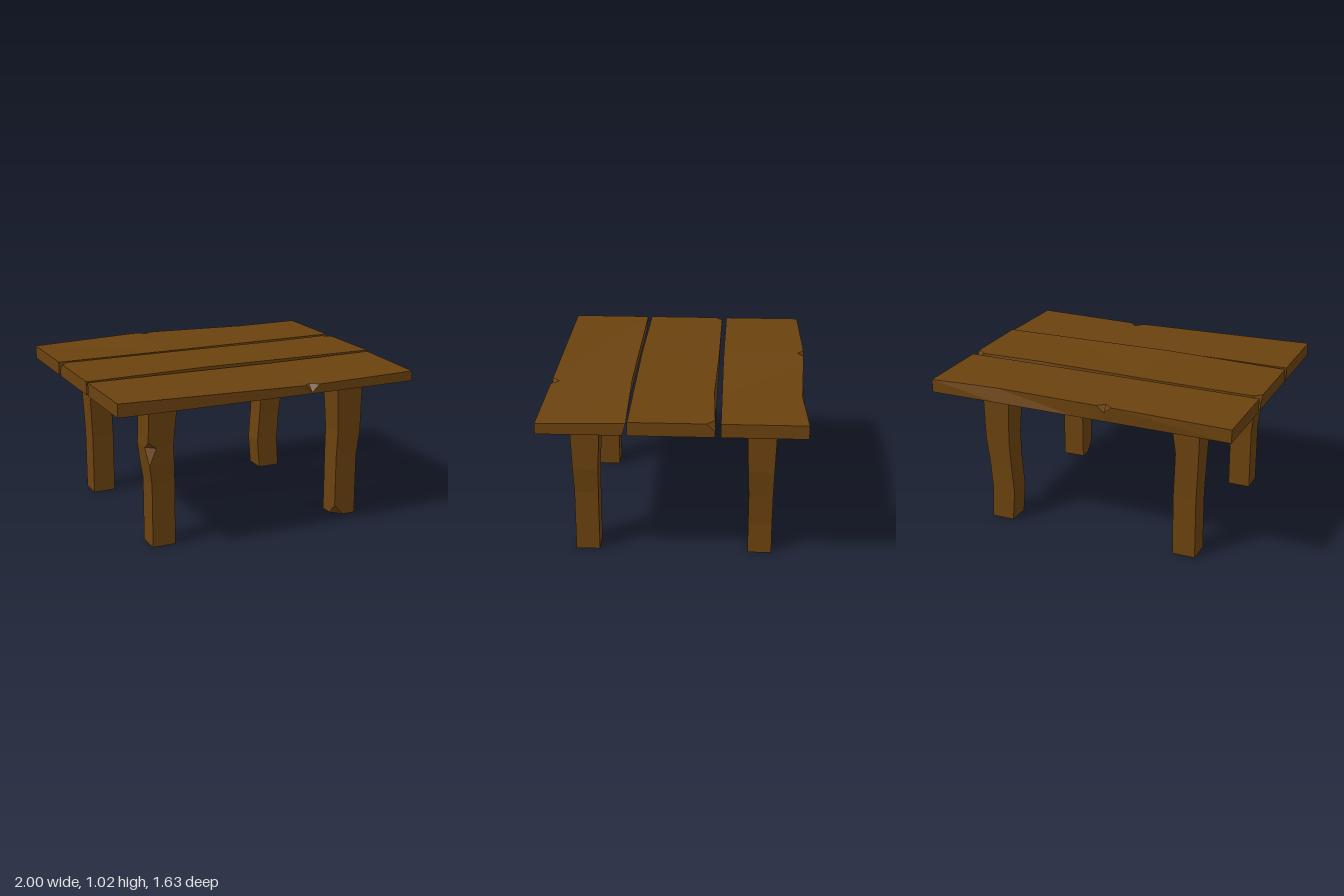
import * as THREE from 'three';

// Joins matching rings of points into a closed, faceted solid.
// Each ring runs counter-clockwise seen from the end of the loft.
function loft(rings) {
  const pos = [];
  const tri = (a, b, c) => pos.push(...a, ...b, ...c);
  const n = rings[0].length;
  for (let r = 0; r < rings.length - 1; r++) {
    const a = rings[r], b = rings[r + 1];
    for (let i = 0; i < n; i++) {
      const j = (i + 1) % n;
      tri(a[i], a[j], b[j]);
      tri(a[i], b[j], b[i]);
    }
  }
  const first = rings[0], last = rings[rings.length - 1];
  for (let i = 1; i < n - 1; i++) {
    tri(first[0], first[i + 1], first[i]);
    tri(last[0], last[i], last[i + 1]);
  }
  const g = new THREE.BufferGeometry();
  g.setAttribute('position', new THREE.Float32BufferAttribute(pos, 3));
  g.computeVertexNormals();
  return g;
}

// Plank station: x, back [z bottom, z top, y bottom, y top], front [same], chip on back and front top edge
const plankRing = ([x, b, f, chipB = 0, chipF = 0]) => [
  [x, b[2], b[0]],
  [x, b[3] - chipB, b[1]],
  [x, b[3], b[1] + chipB],
  [x, f[3], f[1] - chipF],
  [x, f[3] - chipF, f[1]],
  [x, f[2], f[0]],
];

// Leg station: y, x range, z range, chip on the front -x edge
const legRing = ([y, x0, x1, z0, z1, chip = 0]) => [
  [x0, y, z0],
  [x0, y, z1 - chip],
  [x0 + chip, y, z1],
  [x1, y, z1],
  [x1, y, z0],
];

const planks = {
  frontPlank: [
    [-1, [0.295, 0.29, 0.915, 1], [0.81, 0.81, 0.915, 1]],
    [0.22, [0.3, 0.295, 0.915, 0.995], [0.815, 0.815, 0.915, 0.972]],
    [0.27, [0.3, 0.295, 0.915, 0.995], [0.815, 0.815, 0.915, 0.97], 0, 0.048],
    [0.32, [0.3, 0.294, 0.915, 0.995], [0.815, 0.815, 0.915, 0.971]],
    [1, [0.295, 0.272, 0.915, 0.992], [0.81, 0.81, 0.915, 0.98]],
  ],
  middlePlank: [
    [-1, [-0.25, -0.255, 0.915, 1], [0.265, 0.262, 0.915, 1], 0.045],
    [-0.95, [-0.25, -0.255, 0.915, 1], [0.265, 0.263, 0.915, 1]],
    [-0.2, [-0.25, -0.25, 0.915, 1], [0.272, 0.27, 0.915, 1.01]],
    [0.5, [-0.25, -0.235, 0.915, 1], [0.27, 0.267, 0.915, 1.004]],
    [0.94, [-0.25, -0.25, 0.915, 1], [0.268, 0.264, 0.915, 1]],
    [1, [-0.25, -0.252, 0.915, 1], [0.268, 0.264, 0.915, 1], 0.05],
  ],
  backPlank: [
    [-1, [-0.8, -0.8, 0.915, 1], [-0.285, -0.285, 0.915, 1]],
    [-0.25, [-0.8, -0.815, 0.915, 1.018], [-0.28, -0.28, 0.897, 1]],
    [-0.2, [-0.8, -0.813, 0.915, 1.017], [-0.28, -0.28, 0.893, 1], 0.04],
    [-0.15, [-0.8, -0.811, 0.915, 1.016], [-0.28, -0.28, 0.892, 1]],
    [0, [-0.8, -0.805, 0.915, 1.014], [-0.28, -0.28, 0.892, 1]],
    [0.55, [-0.797, -0.776, 0.915, 1.005], [-0.28, -0.283, 0.912, 1]],
    [1, [-0.8, -0.8, 0.915, 1], [-0.285, -0.285, 0.915, 1]],
  ],
};

const legs = {
  frontRightLeg: [
    [0, -0.725, -0.575, 0.48, 0.63],
    [0.41, -0.725, -0.575, 0.48, 0.63],
    [0.53, -0.74, -0.578, 0.467, 0.633],
    [0.64, -0.75, -0.583, 0.458, 0.635, 0.055],
    [0.68, -0.748, -0.58, 0.458, 0.636],
    [0.93, -0.745, -0.558, 0.46, 0.647],
  ],
  frontLeftLeg: [
    [0, 0.565, 0.715, 0.48, 0.63, 0.065],
    [0.07, 0.565, 0.715, 0.48, 0.63],
    [0.4, 0.565, 0.715, 0.48, 0.63],
    [0.57, 0.57, 0.735, 0.475, 0.635],
    [0.93, 0.55, 0.735, 0.46, 0.647],
  ],
  backLeftLeg: [
    [0, 0.562, 0.715, -0.61, -0.46],
    [0.2, 0.545, 0.703, -0.61, -0.46],
    [0.4, 0.56, 0.715, -0.612, -0.46],
    [0.57, 0.568, 0.735, -0.616, -0.455],
    [0.93, 0.547, 0.735, -0.628, -0.44],
  ],
  backRightLeg: [
    [0, -0.725, -0.575, -0.61, -0.46],
    [0.4, -0.725, -0.575, -0.612, -0.46],
    [0.7, -0.738, -0.588, -0.62, -0.45],
    [0.93, -0.745, -0.558, -0.628, -0.44],
  ],
};

export function createModel() {
  const wood = new THREE.MeshStandardMaterial({ color: 0x6b420f, flatShading: true });
  wood.name = 'brown wood';
  const table = new THREE.Group();
  table.name = 'table';
  const addParts = (parts, ring) => {
    for (const [name, stations] of Object.entries(parts)) {
      const mesh = new THREE.Mesh(loft(stations.map(ring)), wood);
      mesh.name = name;
      table.add(mesh);
    }
  };
  addParts(planks, plankRing); // table top
  addParts(legs, legRing); // rough-hewn legs
  return table;
}
